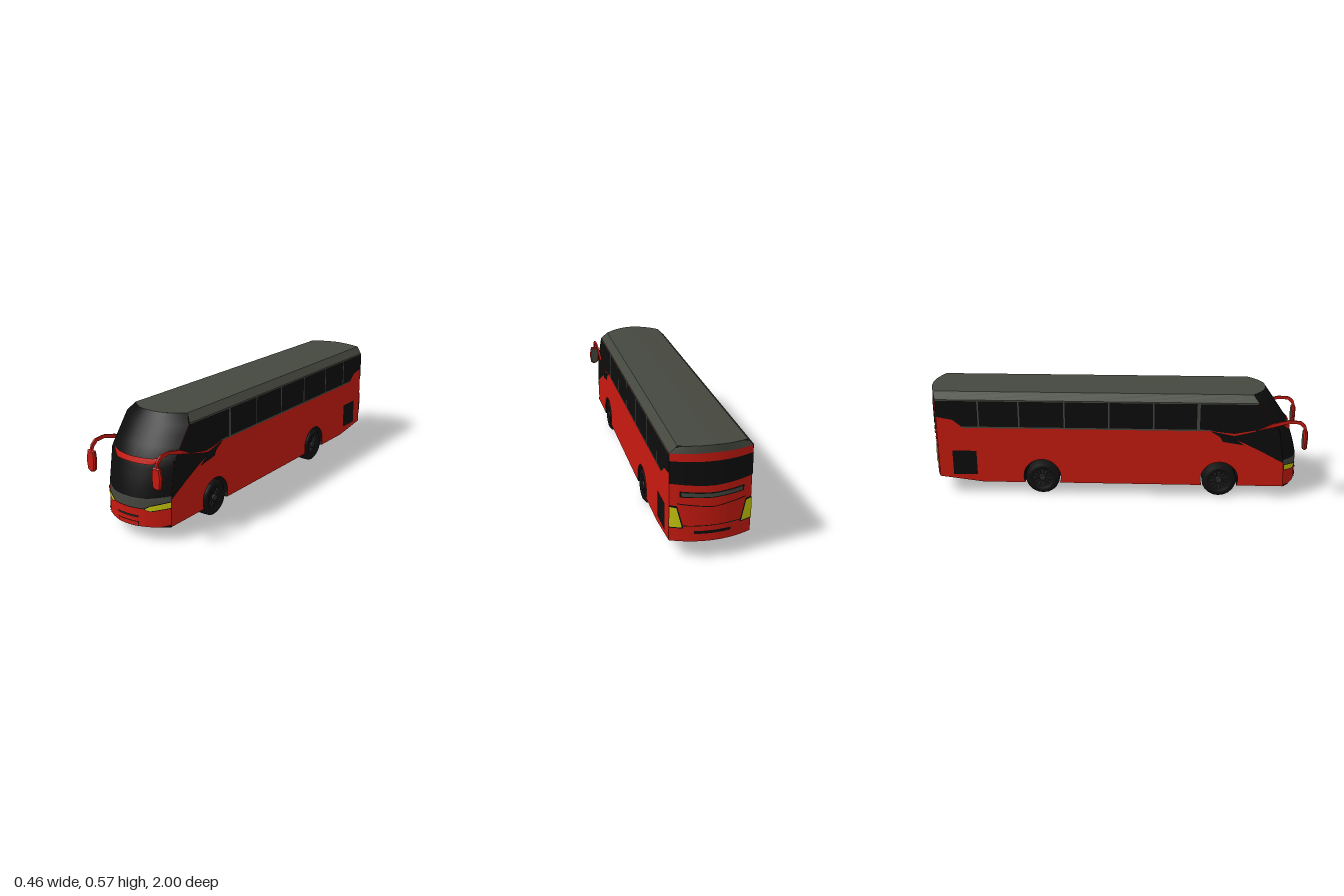
import * as THREE from 'three';

const mat = (color) => new THREE.MeshStandardMaterial({ color, side: THREE.DoubleSide });
const W = 0.193; // half width of the body

// piecewise linear lookup in [key, value] pairs
function lerpTable(t, k) {
  if (k <= t[0][0]) return t[0][1];
  for (let i = 1; i < t.length; i++) {
    const [a, va] = t[i - 1], [b, vb] = t[i];
    if (k <= b) return va + (vb - va) * (k - a) / (b - a);
  }
  return t[t.length - 1][1];
}

// nose profile on the centre line and at the corners: [y, z]
const NOSE = [[0.065, 0.973], [0.2, 0.973], [0.27, 0.957], [0.39, 0.915], [0.572, 0.79]];
const CORNER = [[0.065, 0.89], [0.2, 0.885], [0.38, 0.855], [0.572, 0.71]];
const maxX = (y) => W - Math.max(0, y - 0.53) * 0.87;
const frontZ = (x, y) => {
  const c = lerpTable(NOSE, y);
  return c + (lerpTable(CORNER, y) - c) * Math.pow(Math.min(1, x / W), 2.2);
};
const rearZ = (x) => -1 + 0.045 * (x / W) ** 2;

// surface from a grid of points, repeated for both halves of the body
function halves(name, material, nu, nv, point) {
  const pos = [], idx = [];
  for (const s of [1, -1]) {
    const base = pos.length / 3;
    for (let i = 0; i <= nu; i++) for (let j = 0; j <= nv; j++) {
      const [x, y, z] = point(i / nu, j / nv);
      pos.push(s * x, y, z);
    }
    for (let i = 0; i < nu; i++) for (let j = 0; j < nv; j++) {
      const a = base + i * (nv + 1) + j, b = a + nv + 1;
      if (s > 0) idx.push(a, b, b + 1, a, b + 1, a + 1);
      else idx.push(a, b + 1, b, a, a + 1, b + 1);
    }
  }
  const g = new THREE.BufferGeometry();
  g.setAttribute('position', new THREE.Float32BufferAttribute(pos, 3));
  g.setIndex(idx);
  g.computeVertexNormals();
  const m = new THREE.Mesh(g, material);
  m.name = name;
  return m;
}

// curved panel on the nose or tail between two lines y(x), each [x, y] pairs
function panel(name, material, end, lo, hi, off = 0) {
  const x0 = lo[0][0], x1 = lo[lo.length - 1][0];
  return halves(name, material, 14, 8, (u, v) => {
    const x = x0 + (x1 - x0) * u;
    const a = lerpTable(lo, x), y = a + (lerpTable(hi, x) - a) * v;
    const z = end > 0 ? frontZ(x, y) + off : rearZ(x) - off;
    return [x * maxX(y) / W + (x > W - 0.001 ? off * 0.3 : 0), y, z];
  });
}
const flat = (x0, x1, y) => [[x0, y], [x1, y]];

export function createModel() {
  const bus = new THREE.Group();
  const red = mat(0xc81a10), black = mat(0x0d0d0d), grey = mat(0x45483f), yellow = mat(0xc8c80f);
  const rubber = mat(0x111111), rim = mat(0x2b2c2b);
  const shape = (pts) => new THREE.Shape(pts.map(([z, y]) => new THREE.Vector2(z, y)));

  // main body: side outline with wheel arches, extruded across the width
  const outline = new THREE.Shape();
  outline.moveTo(-0.955, 0.53);
  outline.lineTo(-0.955, 0.095);
  outline.lineTo(-0.72, 0.065);
  for (const z of [-0.4, 0.55]) {
    outline.lineTo(z - 0.094, 0.065);
    outline.absarc(z, 0.1, 0.1, Math.PI + 0.35, -0.35, true);
  }
  outline.lineTo(0.89, 0.065);
  outline.lineTo(0.885, 0.2);
  outline.lineTo(0.855, 0.38);
  outline.lineTo(lerpTable(CORNER, 0.53), 0.53);
  const body = new THREE.Mesh(
    new THREE.ExtrudeGeometry(outline, { depth: 2 * W, bevelEnabled: false, curveSegments: 10 }), [red, black]);
  body.rotation.y = -Math.PI / 2;
  body.position.x = W;
  body.name = 'body';
  bus.add(body);

  // roof with bevelled sides, and the floor under nose and tail
  const roofLine = [[0, 0.572], [0.16, 0.568], [W, 0.53]];
  const roofPart = (name, x0, x1) => halves(name, grey, 8, 1, (u, v) => {
    const x = x0 + (x1 - x0) * u, y = lerpTable(roofLine, x);
    const f = frontZ(x * W / maxX(y), y);
    return [x, y, f + (rearZ(x) - f) * v];
  });
  bus.add(roofPart('roof', 0, 0.16), roofPart('roofEdges', 0.16, W));
  bus.add(halves('frontFloor', black, 12, 1, (u, v) => [W * u, 0.065, v ? frontZ(W * u, 0.065) : 0.88]));
  bus.add(halves('rearFloor', black, 12, 1, (u, v) => [W * u, 0.095, v ? rearZ(W * u) : -0.95]));

  // nose: bumper, grey band, windscreen, visor, headlights
  const bandLow = [[0, 0.157], [0.09, 0.157], [W, 0.19]];
  const bandHigh = [[0, 0.205], [0.1, 0.205], [W, 0.217]];
  bus.add(
    panel('frontBumper', red, 1, flat(0, W, 0.065), bandLow),
    panel('frontBand', grey, 1, bandLow, bandHigh),
    panel('windscreen', black, 1, bandHigh, [[0, 0.572], [W, 0.568]]),
    panel('visor', red, 1, [[0, 0.36], [0.108, 0.36], [0.155, 0.396]], [[0, 0.386], [0.105, 0.388], [0.155, 0.397]], 0.007),
    panel('bandTrim', black, 1, [[0, 0.154], [0.09, 0.154]], [[0, 0.158], [0.09, 0.158]], 0.003),
    panel('headlightFrame', black, 1, [[0.088, 0.153], [0.116, 0.142], [W, 0.158]], [[0.088, 0.157], [0.116, 0.173], [W, 0.193]], 0.003),
    panel('headlight', yellow, 1, [[0.095, 0.153], [0.116, 0.146], [W, 0.162]], [[0.095, 0.156], [0.116, 0.169], [W, 0.189]], 0.005),
    panel('grilleSlot', black, 1, flat(0, 0.063, 0.109), flat(0, 0.063, 0.12), 0.003),
    panel('grilleBar', rim, 1, flat(0, 0.06, 0.112), flat(0, 0.06, 0.117), 0.005),
    panel('plateFrame', black, 1, flat(0, 0.064, 0.066), flat(0, 0.064, 0.09), 0.003),
    panel('plate', red, 1, flat(0, 0.061, 0.068), flat(0, 0.061, 0.087), 0.005),
    panel('bumperCorner', black, 1, flat(0.15, W, 0.065), [[0.15, 0.066], [W, 0.078]], 0.003));

  // tail: bodywork, window, vents and lamps
  bus.add(
    panel('tail', red, -1, flat(0, W, 0.095), [[0, 0.535], [W, 0.53]]),
    panel('tailTop', grey, -1, [[0, 0.535], [W, 0.53]], [[0, 0.572], [0.16, 0.568], [W, 0.553]]),
    panel('rearWindow', black, -1, [[0, 0.375], [W, 0.385]], flat(0, W, 0.495), 0.003),
    panel('rearVentFrame', black, -1, [[0, 0.315], [0.15, 0.32]], [[0, 0.342], [0.155, 0.35]], 0.003),
    panel('rearVent', grey, -1, [[0, 0.32], [0.143, 0.326]], [[0, 0.337], [0.143, 0.344]], 0.005),
    panel('enginePanelTop', black, -1, [[0, 0.268], [0.16, 0.285]], [[0, 0.272], [0.16, 0.29]], 0.003),
    panel('enginePanelBase', black, -1, [[0, 0.174], [0.14, 0.174]], [[0, 0.178], [0.14, 0.178]], 0.003),
    panel('rearLampFrame', black, -1, [[0.133, 0.163], [W, 0.163]], [[0.133, 0.172], [0.16, 0.275], [W, 0.278]], 0.003),
    panel('rearLamp', yellow, -1, [[0.14, 0.169], [W, 0.169]], [[0.14, 0.172], [0.163, 0.266], [W, 0.27]], 0.005),
    panel('rearSlot', black, -1, flat(0, 0.085, 0.135), flat(0, 0.085, 0.15), 0.003));

  // everything on one flank, then mirrored
  const rect = (z0, z1, y0, y1) => [[z0, y0], [z1, y0], [z1, y1], [z0, y1]];
  for (const s of [1, -1]) {
    const side = new THREE.Group();
    side.name = s > 0 ? 'leftSide' : 'rightSide';
    side.scale.x = s;
    const plate = (name, material, x, pts) => {
      const m = new THREE.Mesh(new THREE.ShapeGeometry(shape(pts)).rotateY(-Math.PI / 2), material);
      m.position.x = x;
      m.name = name;
      side.add(m);
    };
    plate('sideGlass', black, W + 0.001, [[0.74, 0.53], [0.855, 0.38], [0.885, 0.2], [0.755, 0.27], [0.62, 0.335],
      [0.55, 0.37], [0.48, 0.38], [-0.82, 0.38], [-0.87, 0.42], [-0.955, 0.435], [-0.955, 0.53]]);
    plate('windowSill', grey, W + 0.002, rect(-0.82, 0.5, 0.376, 0.384));
    plate('windowRail', grey, W + 0.002, rect(-0.955, 0.735, 0.525, 0.532));
    [0.43, 0.195, -0.04, -0.275, -0.515, -0.73].forEach((z, i) => {
      const w = i ? 0.004 : 0.008;
      plate('windowPost', grey, W + 0.002, rect(z - w, z + w, 0.38, 0.53));
    });
    plate('engineHatch', black, W + 0.002, rect(-0.88, -0.75, 0.108, 0.245));
    plate('sideBlade', black, W + 0.004, [[0.67, 0.3], [0.56, 0.318], [0.545, 0.345], [0.49, 0.378], [0.6, 0.36]]);
    plate('sideStripe', red, W + 0.005, [[0.49, 0.378], [0.62, 0.364], [0.73, 0.385], [0.73, 0.379], [0.62, 0.352]]);

    // mirror arm sweeping forward, with a tapered head
    const arm = shape([[0.74, 0.385], [0.82, 0.425], [0.9, 0.444], [0.96, 0.44], [0.985, 0.42], [0.997, 0.38],
      [0.983, 0.375], [0.974, 0.405], [0.95, 0.425], [0.9, 0.428], [0.83, 0.408]]);
    const armMesh = new THREE.Mesh(new THREE.ExtrudeGeometry(arm, { depth: 0.01, bevelEnabled: false }), red);
    armMesh.rotation.y = -Math.PI / 2;
    armMesh.position.x = 0.205;
    armMesh.name = 'mirrorArm';
    const head = shape([[0.18, 0.39], [0.22, 0.39], [0.23, 0.342], [0.222, 0.292], [0.208, 0.285], [0.19, 0.287],
      [0.178, 0.297], [0.174, 0.345]].map(([x, y]) => [(x - 0.202) * 0.8 + 0.202, (y - 0.338) * 0.9 + 0.338]));
    const headMesh = new THREE.Mesh(new THREE.ExtrudeGeometry(head,
      { depth: 0.008, bevelThickness: 0.007, bevelSize: 0.006, bevelSegments: 1 }), red);
    headMesh.position.z = 0.982;
    headMesh.name = 'mirrorHead';
    const glass = new THREE.Mesh(new THREE.ShapeGeometry(head), grey);
    glass.position.z = 0.974;
    glass.name = 'mirrorGlass';
    side.add(armMesh, headMesh, glass);

    // wheels with spoked rims
    for (const z of [0.55, -0.4]) {
      const wheel = new THREE.Group();
      wheel.name = z > 0 ? 'frontWheel' : 'rearWheel';
      const tyre = [[0, 0], [0.075, 0], [0.092, 0.012], [0.092, 0.058], [0.075, 0.072], [0.058, 0.072], [0.052, 0.062], [0, 0.062]];
      const tyreMesh = new THREE.Mesh(
        new THREE.LatheGeometry(tyre.map(([r, h]) => new THREE.Vector2(r, h)), 20), rubber);
      tyreMesh.name = 'tyre';
      const hub = new THREE.Mesh(new THREE.CylinderGeometry(0.016, 0.02, 0.01, 12), rim);
      hub.position.y = 0.066;
      hub.name = 'hub';
      wheel.add(tyreMesh, hub);
      for (let i = 0; i < 12; i++) {
        const a = i * Math.PI / 6;
        const spoke = new THREE.Mesh(new THREE.BoxGeometry(0.028, 0.004, 0.005), rim);
        spoke.position.set(0.036 * Math.cos(a), 0.064, 0.036 * Math.sin(a));
        spoke.rotation.y = -a;
        spoke.name = 'spoke';
        wheel.add(spoke);
      }
      wheel.rotation.z = -Math.PI / 2;
      wheel.position.set(0.12, 0.092, z);
      side.add(wheel);
    }
    bus.add(side);
  }

  // axles
  for (const z of [0.55, -0.4]) {
    const axle = new THREE.Mesh(new THREE.CylinderGeometry(0.02, 0.02, 0.26, 10), rubber);
    axle.rotation.z = Math.PI / 2;
    axle.position.set(0, 0.092, z);
    axle.name = 'axle';
    bus.add(axle);
  }
  return bus;
}
